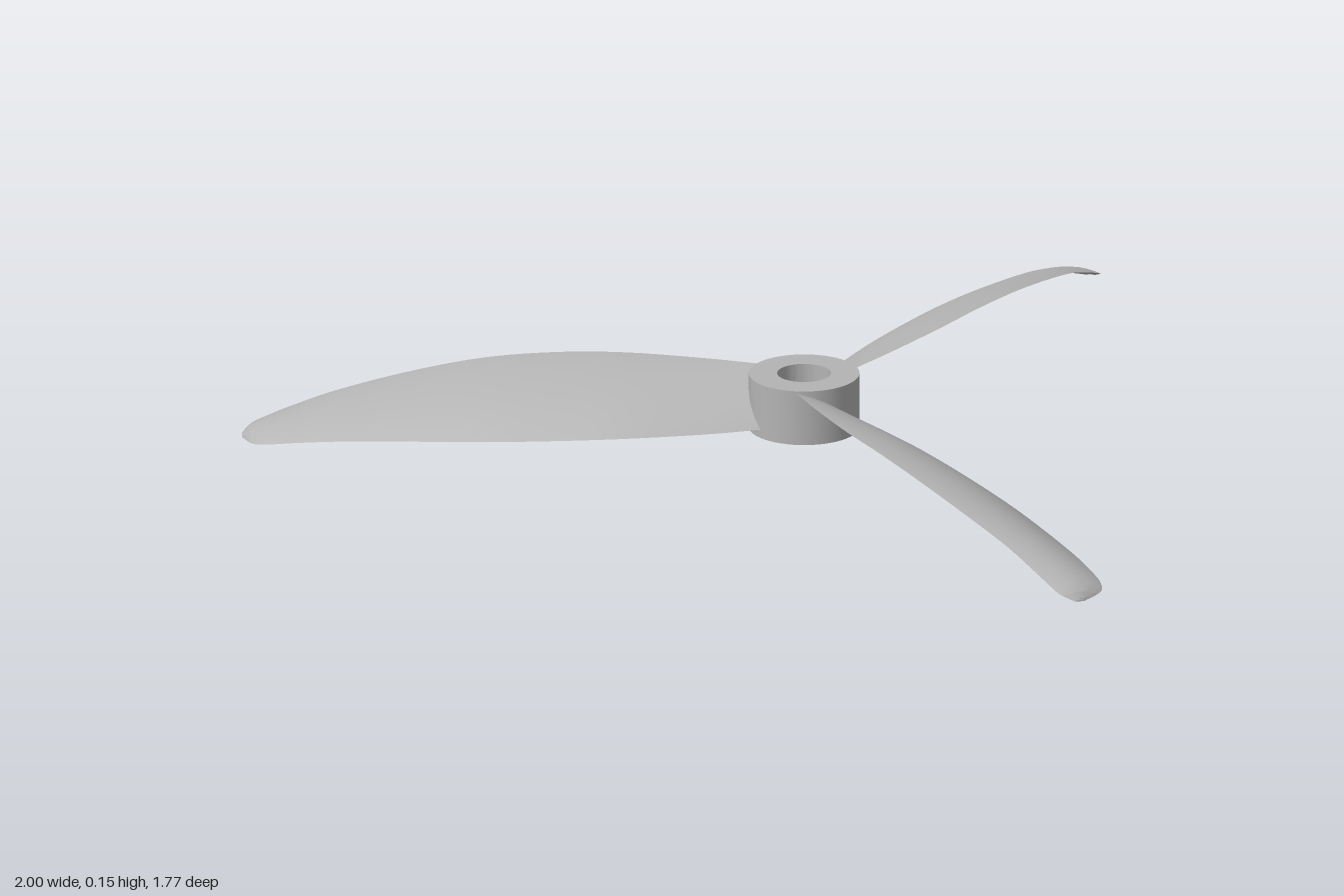
import * as THREE from 'three';
import { toCreasedNormals } from 'three/addons/utils/BufferGeometryUtils.js';

// Blade stations: radius, low edge offset, high edge offset, low edge height, high edge height
const STATIONS = [
  [0.08, -0.065, 0.07, 0.045, 0.138],
  [0.2, -0.085, 0.095, 0.042, 0.143],
  [0.36, -0.102, 0.12, 0.04, 0.148],
  [0.5, -0.104, 0.129, 0.037, 0.147],
  [0.65, -0.099, 0.13, 0.034, 0.136],
  [0.8, -0.084, 0.119, 0.031, 0.112],
  [0.95, -0.066, 0.101, 0.026, 0.079],
  [1.04, -0.053, 0.09, 0.019, 0.051],
  [1.09, -0.043, 0.083, 0.013, 0.033],
  [1.125, -0.022, 0.075, 0.007, 0.019],
  [1.146, 0.03, 0.052, 0.003, 0.006],
];

// Thin cambered section swept between the low and high edge curves
function bladeGeometry() {
  const edge = (u, y) => new THREE.CatmullRomCurve3(
    STATIONS.map((s) => new THREE.Vector3(s[u], s[y], -s[0])), false, 'catmullrom', 0.5);
  const low = edge(1, 3), high = edge(2, 4);
  const rows = 60, half = 14, loop = half * 2;
  const positions = [], index = [];
  for (let i = 0; i <= rows; i++) {
    const a = low.getPoint(i / rows), b = high.getPoint(i / rows);
    const chord = b.x - a.x;
    for (let j = 0; j < loop; j++) {
      const top = j <= half;
      const t = (1 - Math.cos(Math.PI * (top ? j : loop - j) / half)) / 2;
      const p = a.clone().lerp(b, t);
      const camber = 0.075 * chord * 4 * t * (1 - t);
      const thick = 0.03 * chord * Math.sin(Math.PI * t);
      positions.push(p.x, p.y + camber + (top ? thick : -thick), p.z);
      if (i === rows) continue;
      const k = (j + 1) % loop, r0 = i * loop, r1 = r0 + loop;
      index.push(r0 + j, r0 + k, r1 + k, r0 + j, r1 + k, r1 + j);
    }
  }
  // End caps
  const last = rows * loop;
  for (let j = 1; j < loop - 1; j++) {
    index.push(0, j + 1, j, last, last + j, last + j + 1);
  }
  const g = new THREE.BufferGeometry();
  g.setAttribute('position', new THREE.Float32BufferAttribute(positions, 3));
  g.setIndex(index);
  return toCreasedNormals(g, 0.7);
}

export function createModel() {
  const grey = new THREE.MeshStandardMaterial({ color: 0xb4b4b4 });
  grey.name = 'light grey';

  const model = new THREE.Group();
  model.name = 'propeller';
  const rotor = new THREE.Group();
  rotor.name = 'rotor';
  rotor.position.set(0.016, 0, 0.256);
  model.add(rotor);

  // Hub with a shaft hole
  const profile = [[0.055, 0.027], [0.113, 0.027], [0.113, 0.143], [0.055, 0.143], [0.055, 0.027]]
    .map(([r, y]) => new THREE.Vector2(r, y));
  const hub = new THREE.Mesh(toCreasedNormals(new THREE.LatheGeometry(profile, 64), 0.6), grey);
  hub.name = 'hub';
  rotor.add(hub);

  // Three equal blades
  const geometry = bladeGeometry();
  for (let k = 0; k < 3; k++) {
    const blade = new THREE.Mesh(geometry, grey);
    blade.name = 'blade' + (k + 1);
    blade.rotation.y = k * Math.PI * 2 / 3;
    rotor.add(blade);
  }
  return model;
}
